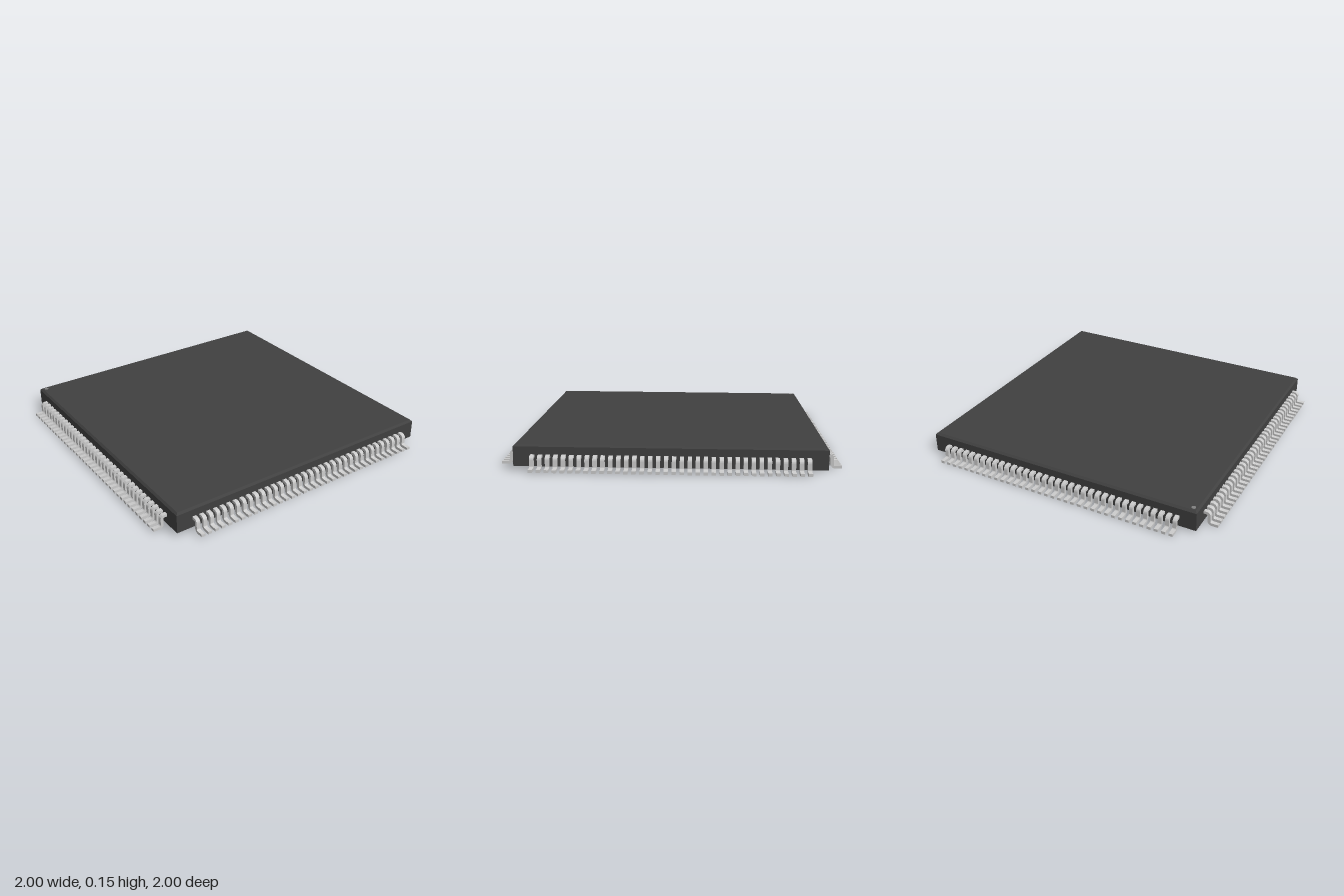
import * as THREE from 'three';
import { mergeGeometries, toCreasedNormals } from 'three/addons/utils/BufferGeometryUtils.js';

const HALF = 0.909;      // half width of the square body
const BOTTOM = 0.021, TOP = 0.149, CHAMFER = 0.012;
const PINS = 36, PITCH = 2 / 44, PIN_WIDTH = 0.0245;

// Side profile of one gull-wing lead: x outward, y up
function leadGeometry() {
  const t = 0.017, foot = 0.006, top = 0.092, outer = 0.025, inner = outer - t;
  const x0 = 0.9, xOut = 0.952, xIn = xOut - t;
  const s = new THREE.Shape();
  s.moveTo(x0, top - t);
  s.lineTo(x0, top);
  s.absarc(xOut - outer, top - outer, outer, Math.PI / 2, 0, true);
  s.absarc(xOut + inner, foot + outer, inner, Math.PI, Math.PI * 1.5, false);
  s.lineTo(1, foot + t);
  s.lineTo(1, foot);
  s.absarc(xIn + outer, foot + outer, outer, Math.PI * 1.5, Math.PI, true);
  s.absarc(xOut - outer, top - outer, inner, 0, Math.PI / 2, false);
  s.closePath();
  const g = new THREE.ExtrudeGeometry(s, { depth: PIN_WIDTH, bevelEnabled: false, curveSegments: 5 });
  g.translate(0, 0, -PIN_WIDTH / 2);
  return toCreasedNormals(g, 0.7);
}

export function createModel() {
  const model = new THREE.Group();
  model.name = 'quadFlatChip';
  const package_ = new THREE.Group();
  package_.name = 'chip';
  package_.rotation.x = -0.006; // sits very slightly raised at the front
  model.add(package_);

  // Square body with a chamfered top edge
  const r = HALF * Math.SQRT2, c = CHAMFER * Math.SQRT2;
  const profile = [[0, BOTTOM], [r, BOTTOM], [r, TOP - CHAMFER], [r - c, TOP], [0, TOP]]
    .map(([x, y]) => new THREE.Vector2(x, y));
  const bodyGeo = new THREE.LatheGeometry(profile, 4, Math.PI / 4).toNonIndexed();
  bodyGeo.computeVertexNormals();
  const body = new THREE.Mesh(bodyGeo, new THREE.MeshStandardMaterial({ color: 0x404040 }));
  body.name = 'body';
  package_.add(body);

  // Round marker beside the first pin
  const marker = new THREE.Mesh(
    new THREE.CylinderGeometry(0.013, 0.013, 0.004, 24),
    new THREE.MeshStandardMaterial({ color: 0x808080 }));
  marker.name = 'pinOneMarker';
  marker.position.set(-0.875, TOP, -0.875);
  package_.add(marker);

  // One row of leads, repeated on all four sides
  const lead = leadGeometry();
  const row = mergeGeometries(Array.from({ length: PINS }, (_, i) =>
    lead.clone().translate(0, 0, (i - (PINS - 1) / 2) * PITCH)));
  const metal = new THREE.MeshStandardMaterial({ color: 0xcccccc });
  ['left', 'back', 'right', 'front'].forEach((side, k) => {
    const leads = new THREE.Mesh(row, metal);
    leads.name = side + 'Leads';
    leads.rotation.y = k * Math.PI / 2;
    package_.add(leads);
  });

  return model;
}
